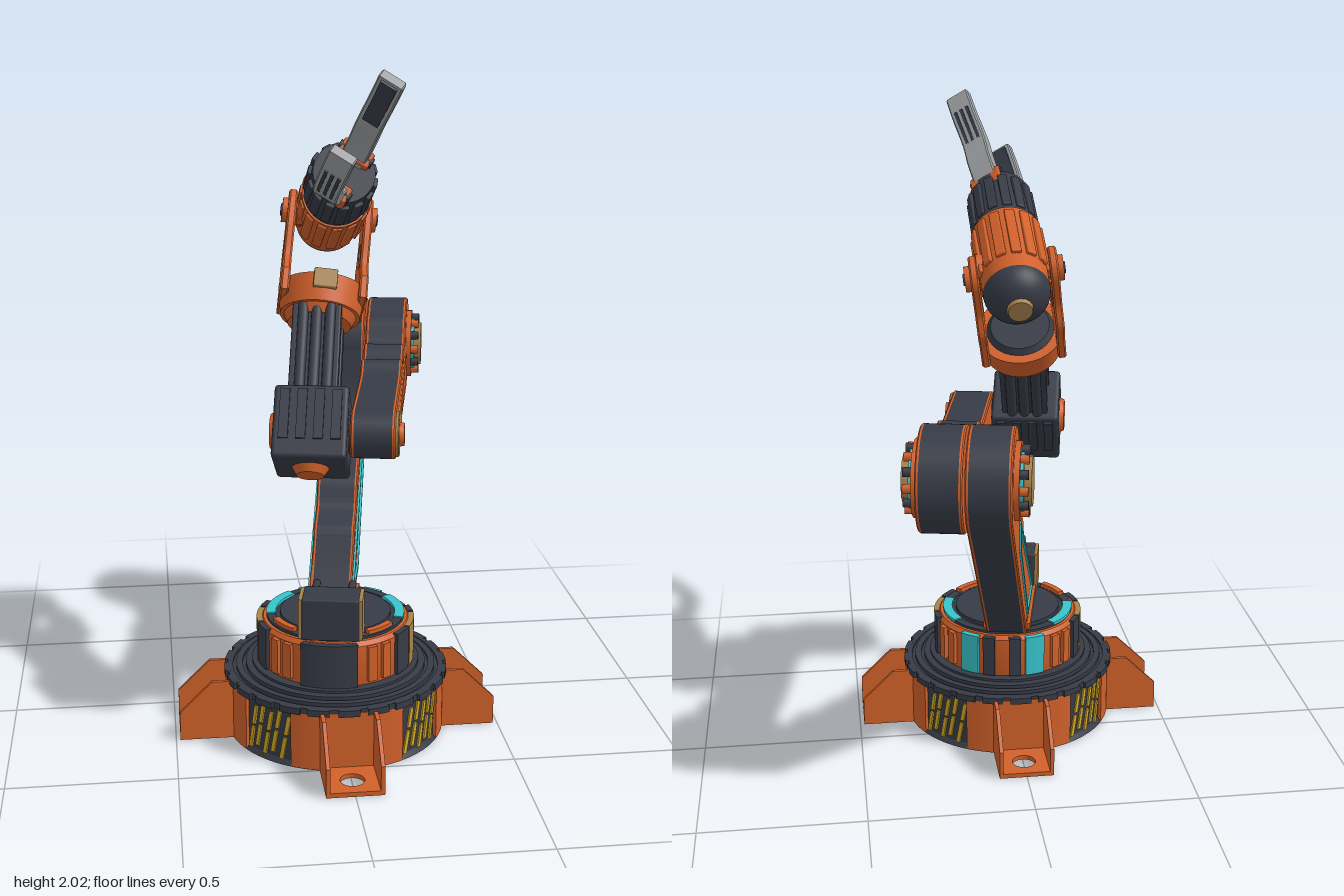
import * as THREE from 'three';
import { toCreasedNormals } from 'three/addons/utils/BufferGeometryUtils.js';
import { RoundedBoxGeometry } from 'three/addons/geometries/RoundedBoxGeometry.js';

const paint = (name, color) => Object.assign(new THREE.MeshStandardMaterial({ color }), { name });
const ORANGE = paint('orange paint', 0xd0602a), DARK = paint('dark slate', 0x373b46);
const TAN = paint('bronze', 0xa9824a), CYAN = paint('cyan accent', 0x38c3cb);
const STEEL = paint('steel', 0x9c9ea1), YELLOW = paint('hazard yellow', 0xd6ac22);
const V2 = (a) => a.map(([x, y]) => new THREE.Vector2(x, y));

export function createModel() {
  const root = new THREE.Group();
  const group = (name, parent, x = 0, y = 0, z = 0) => {
    const g = new THREE.Group();
    g.name = name; g.position.set(x, y, z); parent.add(g);
    return g;
  };
  const add = (name, parent, geo, mat, x = 0, y = 0, z = 0) => {
    const m = new THREE.Mesh(geo, mat);
    m.name = name; m.position.set(x, y, z); parent.add(m);
    return m;
  };
  const box = (name, p, mat, w, h, d, x, y, z, r = 0) =>
    add(name, p, r ? new RoundedBoxGeometry(w, h, d, 2, r) : new THREE.BoxGeometry(w, h, d), mat, x, y, z);
  // cylinder along a chosen axis
  const cyl = (name, p, mat, r0, r1, len, axis, x, y, z, n = 32) => {
    const g = new THREE.CylinderGeometry(r1, r0, len, n);
    if (axis === 'x') g.rotateZ(-Math.PI / 2);
    if (axis === 'z') g.rotateX(Math.PI / 2);
    return add(name, p, g, mat, x, y, z);
  };
  const lathe = (name, p, mat, pts) =>
    add(name, p, toCreasedNormals(new THREE.LatheGeometry(V2(pts), 64), 0.5), mat);
  // side profile drawn in (z, y), given a thickness along x
  const slab = (name, p, mat, shape, t, x = 0, bevel = 0) => {
    const g = new THREE.ExtrudeGeometry(shape, {
      depth: t - 2 * bevel, curveSegments: 20, bevelEnabled: bevel > 0,
      bevelSize: bevel, bevelThickness: bevel, bevelOffset: -bevel, bevelSegments: 1 });
    g.translate(0, 0, bevel - t / 2).rotateY(-Math.PI / 2);
    return add(name, p, toCreasedNormals(g, 0.5), mat, x);
  };
  // curved plate wrapped round the vertical axis; a = azimuth from the front
  const wrap = (name, p, mat, r, t, a, width, y, h, skew = 0) => {
    const g = new THREE.BoxGeometry(width, h, t, Math.max(1, Math.ceil(width / 0.08)), 3, 1);
    const q = g.attributes.position;
    for (let i = 0; i < q.count; i++) {
      const ang = a + q.getX(i) + skew * q.getY(i), rr = r + q.getZ(i);
      q.setXYZ(i, rr * Math.sin(ang), q.getY(i) + y, rr * Math.cos(ang));
    }
    g.computeVertexNormals();
    return add(name, p, g, mat);
  };
  const deg = Math.PI / 180;

  // ---- fixed base ----
  const base = group('base', root, 0, 0, 0.176);
  lathe('baseDrum', base, DARK, [[0.27, 0.08], [0.27, 0], [0.335, 0], [0.325, 0.015], [0.325, 0.18]]);
  lathe('drumInnerWall', base, ORANGE, [[0.267, 0.08], [0.267, 0.005], [0.271, 0.005]]);
  cyl('drumCeiling', base, DARK, 0.27, 0.27, 0.01, 'y', 0, 0.083, 0, 48);
  lathe('steppedRim', base, DARK, [[0.32, 0.178], [0.336, 0.178], [0.336, 0.196], [0.318, 0.198], [0.318, 0.192],
    [0.308, 0.192], [0.308, 0.204], [0.288, 0.204], [0.288, 0.197], [0.278, 0.197], [0.278, 0.21], [0.258, 0.212],
    [0.258, 0.22], [0.2, 0.22]]);
  for (let i = 0; i < 24; i++) wrap('rimTooth', base, DARK, 0.336, 0.018, i * 15 * deg, 0.19, 0.187, 0.02);
  const wall = new THREE.Shape(V2([[0.3, 0], [0.487, 0], [0.487, 0.09], [0.388, 0.187], [0.3, 0.187]]));
  for (let k = 0; k < 4; k++) {
    const side = group('baseSide', base);
    side.rotation.y = k * Math.PI / 2;
    wrap('drumPanel', side, ORANGE, 0.325, 0.02, 0, 60 * deg, 0.09, 0.176);
    const foot = group('foot', side);
    for (const s of [-1, 1]) slab('footWall', foot, ORANGE, wall, 0.012, s * 0.079);
    const plate = new THREE.Shape(V2([[-0.08, -0.487], [0.08, -0.487], [0.08, -0.3], [-0.08, -0.3]]));
    plate.holes.push(new THREE.Path().absarc(0, -0.415, 0.036, 0, Math.PI * 2));
    const g = new THREE.ExtrudeGeometry(plate, { depth: 0.014, bevelEnabled: false, curveSegments: 20 });
    add('footPlate', foot, g.rotateX(-Math.PI / 2), ORANGE);
    box('footBack', foot, ORANGE, 0.16, 0.187, 0.03, 0, 0.0935, 0.322);
    // broken slanted hazard marks between the feet
    for (let i = 0; i < 5; i++) for (const [dy, h, da] of [[0.05, 0.07, 0], [0.125, 0.06, 0.045]])
      wrap('hazardMark', side, YELLOW, 0.327, 0.007, (33.5 + i * 5.4) * deg + da, 0.04, dy + (i % 2) * 0.015, h, 0.6);
  }

  // ---- rotating turret ----
  const turret = group('turret', root, 0, 0, 0.176);
  turret.rotation.y = -0.2;
  lathe('turretBody', turret, ORANGE, [[0.22, 0.2], [0.232, 0.225], [0.232, 0.345], [0.222, 0.358], [0.2, 0.358]]);
  lathe('turretDeck', turret, DARK, [[0.212, 0.35], [0.212, 0.366], [0.185, 0.366], [0.185, 0.36], [0.17, 0.36], [0.17, 0.372], [0, 0.372]]);
  wrap('frontPanel', turret, DARK, 0.234, 0.02, 0, 0.72, 0.288, 0.135);
  for (const s of [-1, 1]) {
    for (const [name, mat, a, w] of [['sideDarkPanel', DARK, 63, 0.28], ['sideBronzePanel', TAN, 86, 0.46],
      ['sideDarkPanel', DARK, 107, 0.2], ['cyanPanel', CYAN, 154, 0.26], ['rearDarkPanel', DARK, 170, 0.16]])
      wrap(name, turret, mat, 0.234, 0.018, s * a * deg, w, 0.29, 0.13);
    for (const a of [32, 44, 124, 136]) wrap('turretRib', turret, ORANGE, 0.235, 0.02, s * a * deg, 0.12, 0.288, 0.11);
    wrap('deckArc', turret, CYAN, 0.198, 0.03, s * 105 * deg, 0.9, 0.366, 0.008);
    wrap('deckRail', turret, ORANGE, 0.195, 0.02, s * 48 * deg, 0.5, 0.37, 0.016);
  }
  // drive housing on the deck
  box('driveHousing', turret, DARK, 0.17, 0.13, 0.11, 0.003, 0.432, 0.178, 0.006);
  for (const s of [-1, 1]) {
    box('driveSidePlate', turret, TAN, 0.012, 0.125, 0.1, 0.003 + s * 0.089, 0.432, 0.178);
    cyl('driveRod', turret, DARK, 0.012, 0.012, 0.12, 'z', s * 0.055, 0.465, 0.08, 12);
  }

  // ---- two arm links ----
  const E = [-0.69, 1.055], W = [0.147, 0.984], R = 0.153;
  const lower = new THREE.Shape();
  lower.moveTo(-0.198, 0.355).lineTo(0.127, 0.355).lineTo(-0.09, 0.56);
  lower.splineThru(V2([[-0.12, 0.6], [-0.2, 0.635], [-0.25, 0.71], [-0.34, 0.76], [-0.385, 0.825], [-0.49, 0.89], [-0.537, 1.055]]));
  lower.absarc(...E, R, 0, 225 * deg);
  lower.closePath();
  lower.holes.push(new THREE.Path(V2([[0, 0.4], [-0.2, 0.4], [-0.215, 0.418], [-0.02, 0.418]])));
  const fore = new THREE.Shape();
  fore.absarc(...W, 0.072, -Math.PI / 2, Math.PI / 2);
  fore.lineTo(-0.075, 1.058);
  fore.splineThru(V2([[-0.225, 1.063], [-0.29, 1.095], [-0.37, 1.07], [-0.436, 1.108], [-0.495, 1.1], [-0.545, 1.165], [-0.6, 1.179]]));
  fore.absarc(...E, R, 54 * deg, 270 * deg);
  fore.lineTo(-0.29, 0.905).lineTo(0, 0.922).closePath();
  const link = (name, shape, x0, x1) => {
    const g = group(name, turret);
    slab(name + 'Core', g, DARK, shape, x1 - x0 - 0.02, (x0 + x1) / 2);
    for (const x of [x0 + 0.007, x1 - 0.007]) slab(name + 'SidePlate', g, ORANGE, shape, 0.014, x, 0.004);
    return g;
  };
  const lowerArm = link('lowerArm', lower, -0.077, 0.052);
  const foreArm = link('foreArm', fore, 0.058, 0.188);
  // accent frame on both faces of the lower link
  const frame = [[0.018, 0.434], [-0.55, 0.872], [-0.55, 0.79], [-0.205, 0.434]];
  for (const x of [-0.079, 0.054]) for (let i = 0; i < 4; i++) {
    const [z0, y0] = frame[i], [z1, y1] = frame[(i + 1) % 4];
    const b = box('accentStrip', lowerArm, CYAN, 0.009, 0.012, Math.hypot(z1 - z0, y1 - y0), x, (y0 + y1) / 2, (z0 + z1) / 2);
    b.rotation.x = Math.atan2(-(y1 - y0), z1 - z0);
  }
  box('shoulderFoot', lowerArm, ORANGE, 0.15, 0.03, 0.31, -0.012, 0.37, -0.03);
  // raised rounded panel on the outside of the forearm
  const panel = new THREE.Shape();
  panel.absarc(-0.48, 1.025, 0.045, 85 * deg, 270 * deg).absarc(-0.13, 0.985, 0.018, -90 * deg, 85 * deg);
  slab('foreArmPanel', foreArm, ORANGE, panel, 0.008, 0.19, 0.002);
  const cap = new THREE.Shape();
  cap.absarc(...W, 0.066, -125 * deg, 125 * deg).lineTo(-0.02, 1.02).lineTo(-0.02, 0.955);
  slab('wristEndPlate', foreArm, TAN, cap, 0.016, 0.19, 0.003);
  cyl('wristBolt', foreArm, ORANGE, 0.036, 0.033, 0.016, 'x', 0.204, W[1], W[0]);
  // elbow hubs with a ring of bolts
  cyl('elbowPin', turret, DARK, 0.09, 0.09, 0.24, 'x', 0.055, E[1], E[0]);
  for (const s of [-1, 1]) {
    const hub = group('elbowHub', turret, s > 0 ? 0.188 : -0.077, E[1], E[0]);
    cyl('hubRing', hub, ORANGE, 0.112, 0.112, 0.02, 'x', s * 0.006, 0, 0, 40);
    cyl('hubAccent', hub, CYAN, 0.09, 0.09, 0.024, 'x', s * 0.014, 0, 0, 40);
    cyl('hubCap', hub, TAN, 0.072, 0.072, 0.045, 'x', s * 0.025, 0, 0, 12);
    for (let i = 0; i < 12; i++)
      cyl('hubBolt', hub, i % 2 ? DARK : ORANGE, 0.014, 0.014, 0.032, 'x', s * 0.024,
        0.089 * Math.sin(i * 30 * deg), 0.089 * Math.cos(i * 30 * deg), 8);
  }

  // ---- telescoping wrist tube ----
  const tube = group('wristTube', turret, -0.055, W[1], W[0]);
  tube.rotation.x = -0.63;
  box('tubeHousing', tube, DARK, 0.215, 0.22, 0.2, 0, 0, 0, 0.012);
  cyl('pivotShaft', tube, DARK, 0.06, 0.06, 0.14, 'x', 0.1, 0, 0);
  cyl('housingKnob', tube, ORANGE, 0.04, 0.058, 0.03, 'y', 0, -0.118, 0);
  cyl('pivotKnob', tube, ORANGE, 0.06, 0.05, 0.02, 'x', -0.112, 0, 0).rotation.z = Math.PI;
  for (const x of [-0.075, -0.025, 0.025, 0.075]) for (const s of [-1, 1])
    box('housingRib', tube, DARK, 0.028, 0.15, 0.012, x, 0.02, s * 0.101);
  box('tubeCore', tube, DARK, 0.12, 0.4, 0.15, 0, 0.25, 0);
  for (const s of [-1, 1]) {
    for (const z of [-0.055, 0.055]) box('tubeRail', tube, DARK, 0.02, 0.4, 0.045, s * 0.062, 0.25, z, 0.006);
    for (const x of [-0.04, 0, 0.04]) cyl('tubeRod', tube, DARK, 0.016, 0.016, 0.4, 'y', x, 0.25, s * 0.075, 12);
  }

  // ---- fork holding the hand ----
  const fork = group('fork', root, 0.015, 1.55, -0.115);
  fork.rotation.set(-0.63, 0, -0.15);
  cyl('forkCollar', fork, ORANGE, 0.12, 0.132, 0.085, 'y', 0, -0.3, 0);
  cyl('forkCollarBase', fork, ORANGE, 0.095, 0.11, 0.03, 'y', 0, -0.355, 0);
  cyl('forkCollarTop', fork, DARK, 0.105, 0.09, 0.02, 'y', 0, -0.25, 0);
  box('collarPlate', fork, TAN, 0.07, 0.06, 0.03, 0, -0.275, 0.12, 0.004);
  const prong = new THREE.Shape();
  prong.moveTo(-0.09, -0.31).lineTo(0.1, -0.31).lineTo(0.1, -0.24);
  prong.splineThru(V2([[0.06, -0.18], [0.068, -0.08], [0.065, 0]]));
  prong.absarc(0, 0, 0.065, 0, Math.PI);
  prong.splineThru(V2([[-0.075, -0.08], [-0.11, -0.15], [-0.085, -0.22], [-0.09, -0.31]]));
  prong.holes.push(new THREE.Path().absellipse(0, -0.13, 0.016, 0.045, 0, Math.PI * 2, true, 0.3));
  for (const s of [-1, 1]) {
    slab('forkProng', fork, ORANGE, prong, 0.026, s * 0.116, 0.005);
    const pin = group('forkPin', fork, s * 0.13, 0, 0);
    cyl('pinCap', pin, ORANGE, 0.038, 0.038, 0.03, 'x', 0, 0, 0, 20);
    cyl('pinCentre', pin, DARK, 0.018, 0.018, 0.04, 'x', 0, 0, 0, 12);
  }

  // ---- hand ----
  const hand = group('hand', root, 0.02, 1.565, -0.115);
  hand.rotation.x = -0.45;
  cyl('handBody', hand, ORANGE, 0.098, 0.103, 0.27, 'z', 0, 0, 0.025);
  const tail = new THREE.SphereGeometry(0.098, 32, 10, 0, Math.PI * 2, 0, Math.PI / 2);
  add('handTail', hand, tail.rotateX(-Math.PI / 2).scale(1, 1, 0.85), DARK, 0, 0, -0.11);
  cyl('tailBoss', hand, TAN, 0.035, 0.04, 0.02, 'z', 0, 0, -0.19, 16);
  cyl('handAxle', hand, ORANGE, 0.045, 0.045, 0.22, 'x', 0, 0, 0, 20);
  cyl('gripperBase', hand, DARK, 0.097, 0.09, 0.2, 'z', 0, 0, 0.26);
  for (let i = 0; i < 14; i++) {
    const ray = group('handRib', hand);
    ray.rotation.z = i / 14 * Math.PI * 2;
    box('bodyRib', ray, ORANGE, 0.03, 0.014, 0.2, 0, 0.102, 0.045, 0.004);
    box('gripperRib', ray, DARK, 0.028, 0.016, 0.15, 0, 0.094, 0.255, 0.004);
  }
  // tapering ribbon round a curve in (z, y)
  const ribbon = (curve, t0, t1, off, from = 0, to = 1) => {
    const a = [], b = [];
    for (let i = 0; i <= 14; i++) {
      const u = from + (to - from) * i / 14, c = curve.getPoint(u), d = curve.getTangent(u), h = (t0 + (t1 - t0) * u) / 2;
      a.push([c.x - d.y * (off + h), c.y + d.x * (off + h)]);
      b.unshift([c.x - d.y * (off - h), c.y + d.x * (off - h)]);
    }
    return new THREE.Shape(V2([...a, ...b]));
  };
  const bends = [[[0.35, 0.055], [0.43, 0.088], [0.52, 0.105], [0.61, 0.15], [0.69, 0.178]],
    [[0.35, 0.055], [0.43, 0.098], [0.52, 0.122], [0.61, 0.108], [0.7, 0.078]]];
  bends.forEach((pts, i) => {
    const finger = group('finger', hand);
    finger.rotation.z = -0.6 + i * Math.PI;
    const curve = new THREE.SplineCurve(V2(pts));
    box('fingerMount', finger, ORANGE, 0.1, 0.05, 0.07, 0, 0.062, 0.35, 0.006);
    slab('fingerBlade', finger, STEEL, ribbon(curve, 0.05, 0.028, 0), 0.076, 0, 0.004);
    slab('fingerPad', finger, DARK, ribbon(curve, 0.01, 0.01, -0.017, 0.55, 0.96), 0.05);
    for (const x of [-0.02, 0, 0.02]) slab('fingerGroove', finger, DARK, ribbon(curve, 0.008, 0.008, 0.016, 0.5, 0.8), 0.01, x);
    cyl('fingerPin', finger, DARK, 0.016, 0.016, 0.11, 'x', 0, 0.062, 0.37, 12);
  });
  return root;
}
